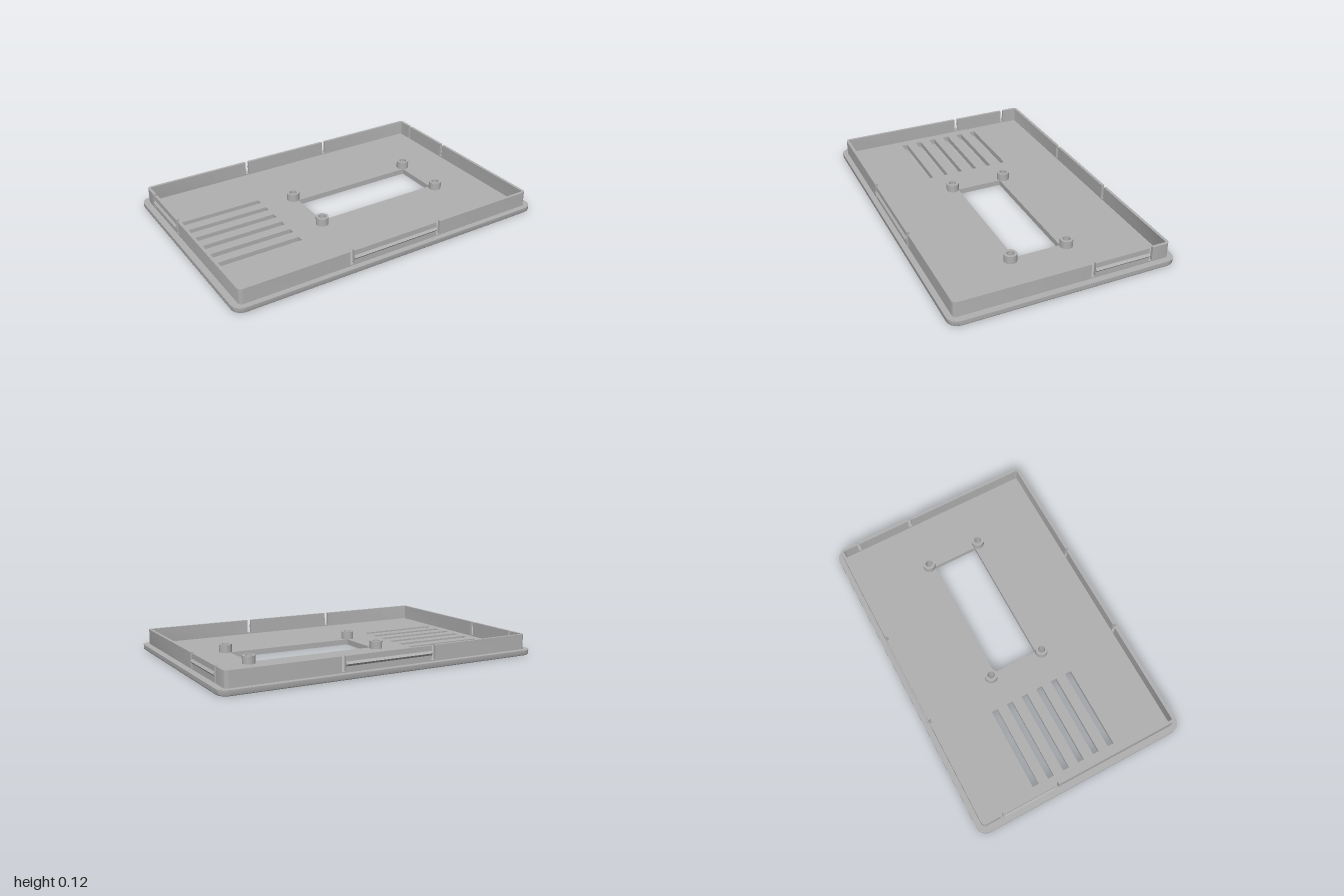
import * as THREE from 'three';
import { toCreasedNormals } from 'three/addons/utils/BufferGeometryUtils.js';

const HX = 1, HZ = 0.667, PLATE_TOP = 0.033;      // base plate
const WX = 0.962, WZ = 0.635, WALL_TOP = 0.124, THICK = 0.017; // rim wall
const BAND_TOP = 0.04;                            // foot of the relief gaps

// Outline points of a rounded quarter, mirrored into quadrant (sx, sz)
function arc(hx, hz, r, sx, sz, n = 8) {
  return Array.from({ length: n + 1 }, (_, i) => {
    const a = (i / n) * Math.PI / 2;
    return new THREE.Vector2(sx * (hx - r + r * Math.cos(a)), sz * (hz - r + r * Math.sin(a)));
  });
}

function roundedOutline(hx, hz, r) {
  return [
    ...arc(hx, hz, r, 1, 1), ...arc(hx, hz, r, -1, 1).reverse(),
    ...arc(hx, hz, r, -1, -1), ...arc(hx, hz, r, 1, -1).reverse(),
  ];
}

function rectPath(x0, x1, z0, z1) {
  return new THREE.Path([[x0, z0], [x1, z0], [x1, z1], [x0, z1]].map(p => new THREE.Vector2(...p)));
}

function circlePath(x, z, r) {
  return new THREE.Path().absarc(x, z, r, 0, Math.PI * 2, true);
}

// Extrude a plan shape (x, z) between two heights
function slab(shape, y0, y1, steps = 1) {
  const g = new THREE.ExtrudeGeometry(shape, { depth: y1 - y0, steps, bevelEnabled: false, curveSegments: 16 });
  return g.rotateX(Math.PI / 2).translate(0, y1, 0);
}

// Round the lower outer edge of the plate by drawing its layers inward
function roundLowerEdge(g, cornerR, r, steps) {
  const p = g.attributes.position;
  for (let i = 0; i < p.count; i++) {
    const x = p.getX(i), z = p.getZ(i);
    const layer = Math.round(p.getY(i) / PLATE_TOP * steps);
    if (layer === steps) continue;
    const a = layer / (steps - 1) * Math.PI / 2;
    p.setY(i, r * (1 - Math.cos(a)));
    if (Math.abs(x) < 0.93 && Math.abs(z) < 0.6) continue;
    const cx = THREE.MathUtils.clamp(x, -HX + cornerR, HX - cornerR);
    const cz = THREE.MathUtils.clamp(z, -HZ + cornerR, HZ - cornerR);
    const k = (cornerR - r * (1 - Math.sin(a))) / cornerR;
    p.setX(i, cx + (x - cx) * k);
    p.setZ(i, cz + (z - cz) * k);
  }
  return g;
}

export function createModel() {
  const model = new THREE.Group();
  model.name = 'enclosureLid';
  const grey = new THREE.MeshStandardMaterial({ color: 0xb0b0b0 });
  grey.name = 'grey plastic';

  const add = (name, geometry, parent = model) => {
    const mesh = new THREE.Mesh(toCreasedNormals(geometry, 0.6), grey);
    mesh.name = name;
    parent.add(mesh);
    return mesh;
  };

  // Base plate with display window, vents and screw holes
  const posts = [[-0.197, -0.177], [0.637, -0.177], [-0.197, 0.169], [0.637, 0.169]];
  const plate = new THREE.Shape(roundedOutline(HX, HZ, 0.06));
  plate.holes.push(rectPath(-0.18, 0.62, -0.146, 0.138));
  for (let i = 0; i < 6; i++) {
    const z = -0.256 + i * 0.1005;
    plate.holes.push(rectPath(-0.893, -0.39, z - 0.019, z + 0.019));
  }
  for (const [x, z] of posts) plate.holes.push(circlePath(x, z, 0.022));
  add('basePlate', roundLowerEdge(slab(plate, 0, PLATE_TOP, 6), 0.06, 0.01, 6));

  // Hollow screw posts
  for (const [x, z] of posts) {
    const ring = new THREE.Shape().absarc(x, z, 0.038, 0, Math.PI * 2, false);
    ring.holes.push(circlePath(x, z, 0.022));
    add('screwPost', slab(ring, PLATE_TOP, 0.08));
  }

  // Low continuous band under the rim
  const band = new THREE.Shape(roundedOutline(WX, WZ, 0.025));
  band.holes.push(new THREE.Path(roundedOutline(WX - THICK, WZ - THICK, 0.01)));
  add('rimBand', slab(band, PLATE_TOP, BAND_TOP));

  // Corner pieces of the rim, cut off at the relief gaps
  for (const sx of [1, -1]) for (const sz of [1, -1]) {
    const endX = sx * 0.302, endZ = sz > 0 ? -0.147 : -0.525;
    const ix = sx * (WX - THICK), iz = sz * (WZ - THICK);
    const corner = new THREE.Shape([
      new THREE.Vector2(sx * WX, endZ),
      ...arc(WX, WZ, 0.025, sx, sz),
      new THREE.Vector2(endX, sz * WZ),
      new THREE.Vector2(endX, iz),
      ...arc(WX - THICK, WZ - THICK, 0.01, sx, sz, 4).reverse(),
      new THREE.Vector2(ix, endZ),
    ]);
    add('rimCorner', slab(corner, BAND_TOP, WALL_TOP));
  }

  // Snap clips: a wall tongue with a pointed ridge on its outer face
  const clip = (name, length, x, z, turn) => {
    const profile = new THREE.Shape([
      [-THICK, BAND_TOP], [0, BAND_TOP], [0, 0.067], [0.011, 0.08],
      [0, 0.093], [0, WALL_TOP], [-THICK, WALL_TOP],
    ].map(p => new THREE.Vector2(...p)));
    const g = new THREE.ExtrudeGeometry(profile, { depth: length, bevelEnabled: false });
    g.translate(0, 0, -length / 2);
    const mesh = add(name, g);
    mesh.position.set(x, 0, z);
    mesh.rotation.y = turn;
  };
  clip('frontClip', 0.556, 0, WZ, -Math.PI / 2);
  clip('backClip', 0.556, 0, -WZ, Math.PI / 2);
  clip('leftClip', 0.334, WX, -0.338, 0);
  clip('rightClip', 0.334, -WX, -0.338, Math.PI);

  return model;
}
